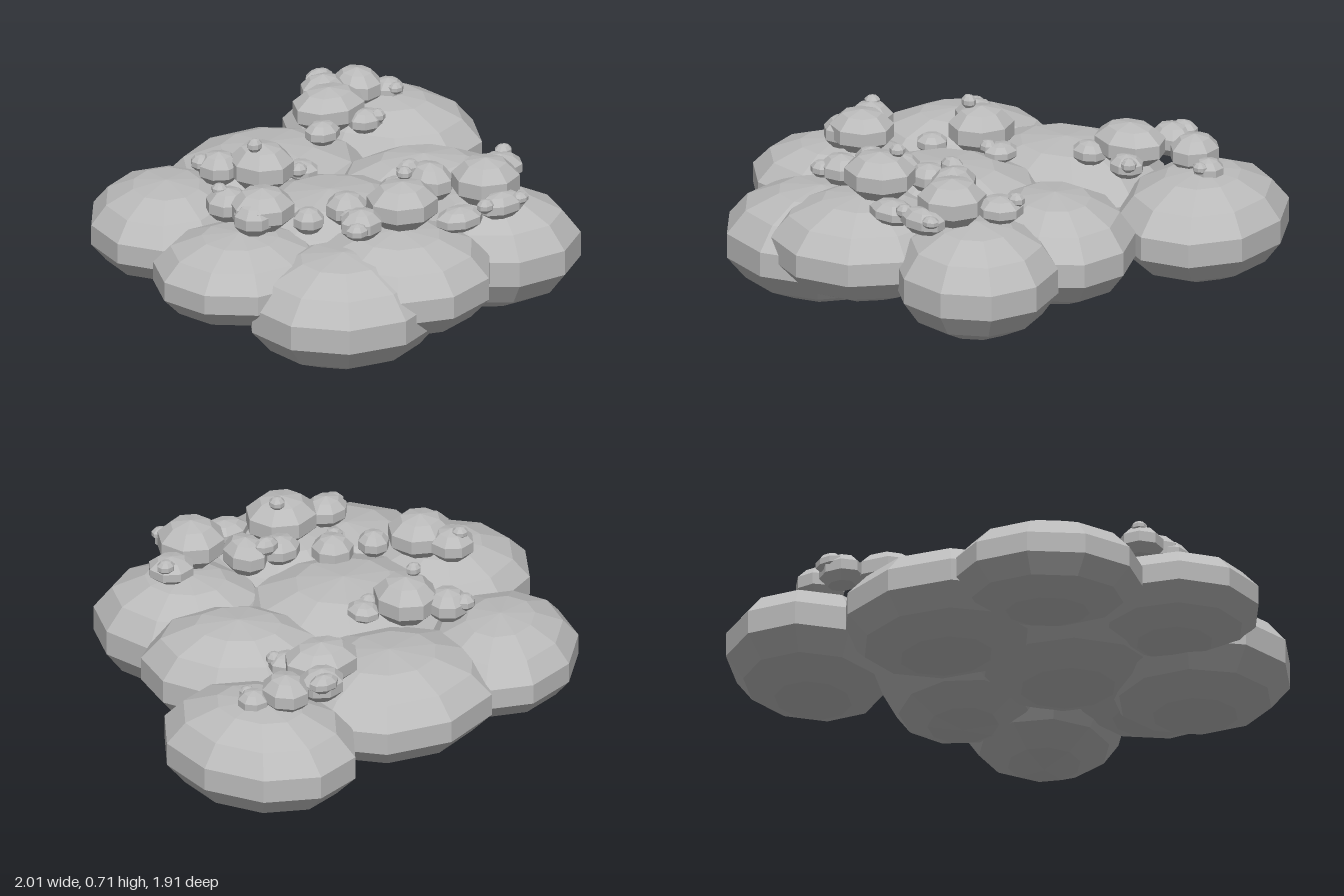
import * as THREE from 'three';

const stone = new THREE.MeshStandardMaterial({ color: 0xbbbbbb, flatShading: true });
stone.name = 'pale grey stone';

// Faceted, squashed ball; turn places its corners, yaw swings its long axis
function lump(name, [x, y, z, rx, ry, rz, turn = 0, yaw = 0], sides, rings, bulge) {
  const k = bulge / Math.cos(Math.PI / (2 * rings));
  const geo = new THREE.SphereGeometry(1, sides, rings);
  geo.rotateY(turn);
  geo.scale(rx * k, ry, rz * k);
  geo.rotateY(yaw);
  const mesh = new THREE.Mesh(geo, stone);
  mesh.name = name;
  mesh.position.set(x, y, z);
  return mesh;
}

export function createModel() {
  const model = new THREE.Group();
  model.name = 'lumpyCluster';

  // Large base lumps: x, y, z, radii, turn, yaw
  const base = {
    backLeftLump: [0.66, 0.28, -0.55, 0.42, 0.22, 0.34, 0.23, -1.15],
    backLump: [0.0, 0.28, -0.46, 0.45, 0.21, 0.39, -0.19],
    backRightLump: [-0.54, 0.29, -0.43, 0.38, 0.19, 0.31, 0.09, 0.785],
    rightLump: [-0.65, 0.31, 0.18, 0.355, 0.18, 0.34, -0.13],
    centreLump: [-0.13, 0.29, 0.1, 0.45, 0.22, 0.42, 0.5],
    leftLump: [0.4, 0.28, 0.04, 0.39, 0.22, 0.32, 0.1, -0.6],
    frontRightLump: [-0.41, 0.23, 0.54, 0.4, 0.23, 0.38, 0.36],
    frontLump: [-0.15, 0.29, 0.57, 0.38, 0.21, 0.38, 0.26],
    frontLeftLump: [0.38, 0.26, 0.48, 0.37, 0.235, 0.33, 0.13, -0.785],
  };
  for (const [name, data] of Object.entries(base)) model.add(lump(name, data, 10, 7, 1));

  // Small pebbles resting on top, in clusters: x, y, z, radii
  const clusters = {
    backLeftPebbles: [
      [0.33, 0.54, -0.48, 0.15, 0.09, 0.12], [0.42, 0.54, -0.63, 0.09, 0.07, 0.08],
      [0.44, 0.57, -0.68, 0.06, 0.04, 0.04], [0.57, 0.53, -0.6, 0.09, 0.08, 0.10],
      [0.69, 0.5, -0.55, 0.06, 0.05, 0.06], [0.69, 0.52, -0.5, 0.03, 0.025, 0.025],
      [0.21, 0.5, -0.37, 0.07, 0.05, 0.06], [0.42, 0.5, -0.36, 0.07, 0.05, 0.06],
      [0.46, 0.52, -0.33, 0.03, 0.03, 0.03],
    ],
    backRightPebbles: [
      [-0.23, 0.53, -0.21, 0.12, 0.1, 0.13], [-0.28, 0.64, -0.19, 0.03, 0.03, 0.025],
      [-0.36, 0.52, -0.32, 0.08, 0.07, 0.08], [-0.41, 0.54, -0.37, 0.04, 0.035, 0.04],
      [-0.07, 0.49, -0.15, 0.06, 0.04, 0.07], [-0.11, 0.51, -0.12, 0.035, 0.03, 0.03],
      [-0.36, 0.48, -0.06, 0.06, 0.04, 0.06],
    ],
    rightPebbles: [
      [-0.53, 0.555, 0.17, 0.125, 0.09, 0.12], [-0.6, 0.55, 0.04, 0.085, 0.07, 0.085],
      [-0.62, 0.61, 0.01, 0.03, 0.025, 0.03], [-0.6, 0.54, 0.2, 0.075, 0.07, 0.08],
      [-0.38, 0.5, 0.28, 0.06, 0.055, 0.06], [-0.2, 0.51, 0.3, 0.08, 0.07, 0.08],
      [-0.26, 0.52, 0.39, 0.035, 0.03, 0.03],
    ],
    frontPebbles: [
      [-0.1, 0.58, 0.53, 0.14, 0.1, 0.13], [-0.05, 0.685, 0.48, 0.03, 0.028, 0.03],
      [-0.31, 0.55, 0.53, 0.085, 0.065, 0.075], [-0.37, 0.55, 0.58, 0.045, 0.035, 0.04],
      [0.01, 0.55, 0.36, 0.08, 0.06, 0.07], [0.16, 0.56, 0.38, 0.08, 0.08, 0.1],
      [0.1, 0.61, 0.32, 0.05, 0.04, 0.035],
    ],
    frontLeftPebbles: [
      [0.31, 0.58, 0.55, 0.13, 0.1, 0.13], [0.47, 0.56, 0.44, 0.09, 0.055, 0.085],
      [0.52, 0.6, 0.4, 0.035, 0.03, 0.03], [0.09, 0.51, 0.66, 0.1, 0.05, 0.07],
      [0.28, 0.53, 0.69, 0.1, 0.055, 0.06], [0.19, 0.55, 0.7, 0.035, 0.03, 0.03],
      [0.35, 0.55, 0.72, 0.035, 0.025, 0.03],
    ],
  };
  for (const [name, pebbles] of Object.entries(clusters)) {
    const group = new THREE.Group();
    group.name = name;
    pebbles.forEach((d, i) => group.add(lump('pebble' + (i + 1), [...d, i * 0.7], 8, 5, 1.06)));
    model.add(group);
  }
  return model;
}
